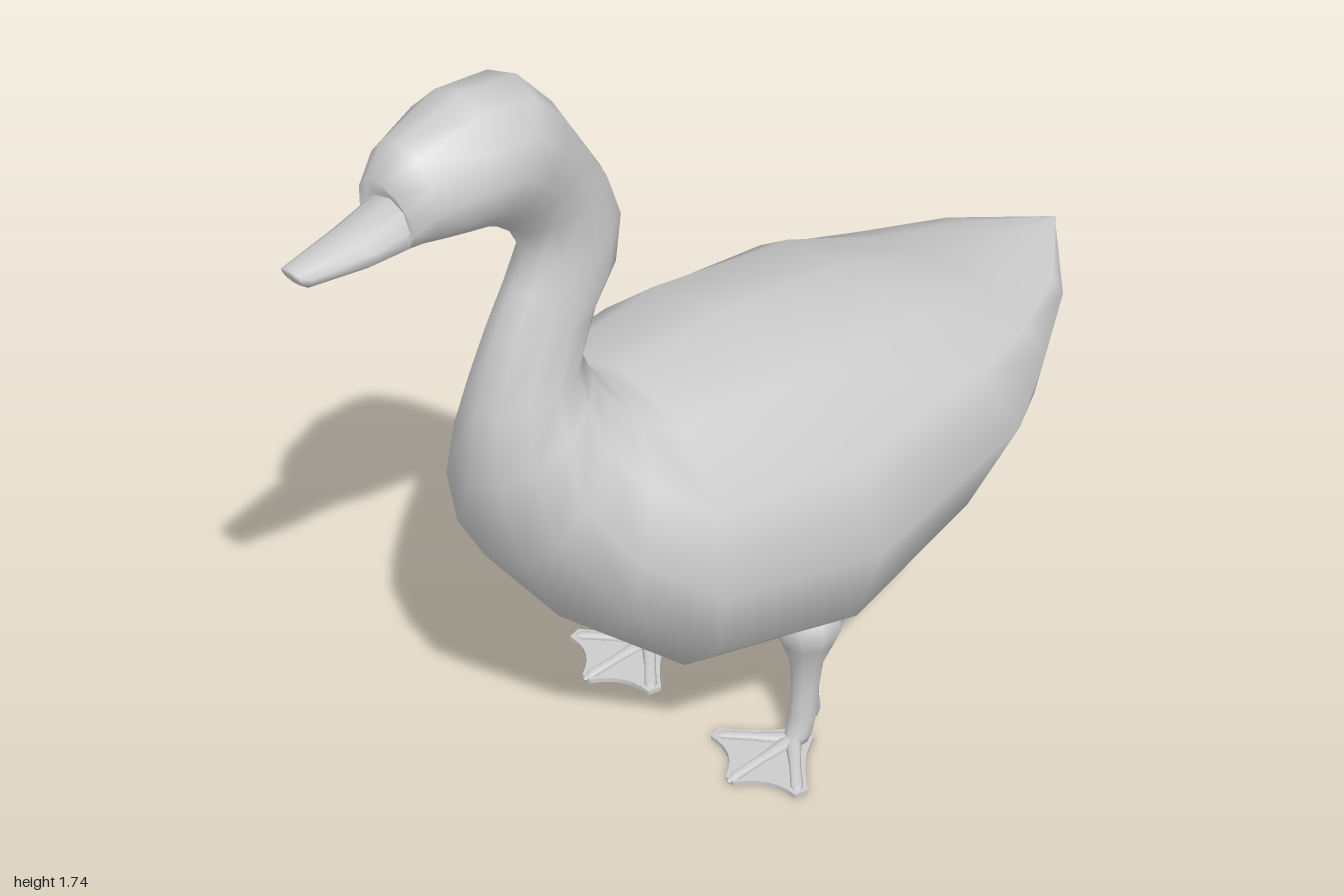
import * as THREE from 'three';

const material = new THREE.MeshStandardMaterial({ color: 0xcccccc });

// Skin a tube through rings. Each ring: [topX, topY, bottomX, bottomY, halfWidth, sideX, sideY]
function loft(rings, sides) {
  const pos = [], index = [];
  const mids = rings.map(([tx, ty, bx, by, w, mx = (tx + bx) / 2, my = (ty + by) / 2]) => {
    for (let i = 0; i < sides; i++) {
      const a = (i / sides) * Math.PI * 2, c = Math.cos(a), k = Math.abs(c);
      const [ex, ey] = c > 0 ? [tx, ty] : [bx, by];
      pos.push(mx + (ex - mx) * k, my + (ey - my) * k, w * Math.sin(a));
    }
    return [mx, my, 0];
  });
  const last = rings.length - 1, start = rings.length * sides;
  pos.push(...mids[0], ...mids[last]);
  for (let i = 0; i < sides; i++) {
    const j = (i + 1) % sides;
    for (let r = 0; r < last; r++) {
      const a = r * sides + i, b = r * sides + j;
      index.push(a, a + sides, b, b, a + sides, b + sides);
    }
    index.push(start, i, j, start + 1, last * sides + j, last * sides + i);
  }
  const g = new THREE.BufferGeometry();
  g.setAttribute('position', new THREE.Float32BufferAttribute(pos, 3));
  g.setIndex(index);
  g.computeVertexNormals();
  return g;
}

function part(name, geometry, parent) {
  const mesh = new THREE.Mesh(geometry, material);
  mesh.name = name;
  parent.add(mesh);
  return mesh;
}

// Tail to breast, up the neck, over the head
const bodyRings = [
  [1, 0.763, 0.99, 0.748, 0.004],
  [0.82, 0.795, 0.83, 0.585, 0.18, 0.83, 0.73],
  [0.62, 0.83, 0.7, 0.45, 0.28, 0.67, 0.7],
  [0.36, 0.93, 0.32, 0.3, 0.37, 0.5, 0.65],
  [0.03, 0.97, 0.03, 0.235, 0.43, 0.05, 0.6],
  [-0.24, 0.96, -0.24, 0.29, 0.36, -0.31, 0.64],
  [-0.3, 0.985, -0.42, 0.45, 0.27, -0.44, 0.74],
  [-0.335, 1.02, -0.6, 0.7, 0.19, -0.51, 0.87],
  [-0.355, 1.06, -0.63, 0.89, 0.135, -0.5, 0.99],
  [-0.37, 1.1, -0.61, 1.04, 0.1],
  [-0.325, 1.18, -0.56, 1.18, 0.082],
  [-0.27, 1.25, -0.515, 1.27, 0.074],
  [-0.255, 1.35, -0.48, 1.34, 0.07],
  [-0.29, 1.45, -0.51, 1.4, 0.075],
  [-0.345, 1.54, -0.56, 1.44, 0.09],
  [-0.4, 1.63, -0.62, 1.47, 0.118],
  [-0.48, 1.72, -0.67, 1.48, 0.135, -0.57, 1.6],
  [-0.61, 1.735, -0.71, 1.487, 0.125, -0.66, 1.6],
  [-0.75, 1.69, -0.745, 1.49, 0.096, -0.745, 1.58],
  [-0.8, 1.63, -0.78, 1.49, 0.076, -0.785, 1.55],
  [-0.775, 1.59, -0.8, 1.49, 0.07, -0.79, 1.54],
];

const beakRings = [
  [-0.76, 1.592, -0.76, 1.49, 0.072],
  [-0.86, 1.56, -0.86, 1.49, 0.06],
  [-0.98, 1.54, -0.98, 1.5, 0.037],
  [-1, 1.536, -0.995, 1.512, 0.03],
];

// Thigh to ankle; here "top" is the front edge and "bottom" the back edge
const legRings = [
  [0.03, 0.36, 0.08, 0.36, 0.025],
  [-0.01, 0.345, 0.12, 0.345, 0.06],
  [-0.02, 0.305, 0.13, 0.31, 0.073],
  [-0.005, 0.265, 0.11, 0.265, 0.058],
  [0.015, 0.21, 0.088, 0.21, 0.036],
  [0.018, 0.14, 0.078, 0.14, 0.029],
  [0.012, 0.07, 0.075, 0.08, 0.03],
  [0, 0.025, 0.062, 0.025, 0.027],
  [-0.02, 0.006, 0.058, 0.006, 0.025],
];

// Hooked hind toe
const spurRings = [
  [0.055, 0.115, 0.075, 0.125, 0.01],
  [0.055, 0.085, 0.09, 0.085, 0.015],
  [0.07, 0.06, 0.09, 0.06, 0.01],
  [0.078, 0.038, 0.084, 0.038, 0.003],
];

// Webbed sole with scalloped edges between three toes
function webGeometry() {
  const s = new THREE.Shape();
  s.moveTo(0.055, -0.022);
  s.quadraticCurveTo(-0.01, -0.05, -0.07, -0.132);
  s.lineTo(-0.1, -0.125);
  s.quadraticCurveTo(-0.095, -0.05, -0.165, -0.012);
  s.lineTo(-0.165, 0.012);
  s.quadraticCurveTo(-0.095, 0.05, -0.1, 0.125);
  s.lineTo(-0.07, 0.132);
  s.quadraticCurveTo(-0.01, 0.05, 0.055, 0.022);
  s.closePath();
  const g = new THREE.ExtrudeGeometry(s, { depth: 0.01, bevelEnabled: false, curveSegments: 6 });
  return g.rotateX(-Math.PI / 2);
}

// Low ridge running from the ankle to a toe tip
function toeGeometry(length) {
  return loft([
    [0, 0.026, 0, 0.003, 0.018],
    [-length * 0.5, 0.019, -length * 0.5, 0.003, 0.012],
    [-length * 0.88, 0.017, -length * 0.88, 0.003, 0.013],
    [-length, 0.008, -length, 0.003, 0.004],
  ], 8);
}

function makeLeg(side) {
  const leg = new THREE.Group();
  leg.name = side > 0 ? 'legPositiveZ' : 'legNegativeZ';
  part('shank', loft(legRings, 10), leg);
  part('hindToe', loft(spurRings, 6), leg);
  part('web', webGeometry(), leg);
  for (const k of [-1, 0, 1]) {
    const toe = part('toe', toeGeometry(k ? 0.165 : 0.185), leg);
    toe.position.x = 0.015;
    toe.rotation.y = k * 0.86;
  }
  leg.position.z = side * 0.222;
  return leg;
}

export function createModel() {
  const bird = new THREE.Group();
  bird.name = 'waterfowl';
  part('body', loft(bodyRings, 12), bird);
  part('beak', loft(beakRings, 10), bird);
  for (const side of [1, -1]) bird.add(makeLeg(side));
  return bird;
}
